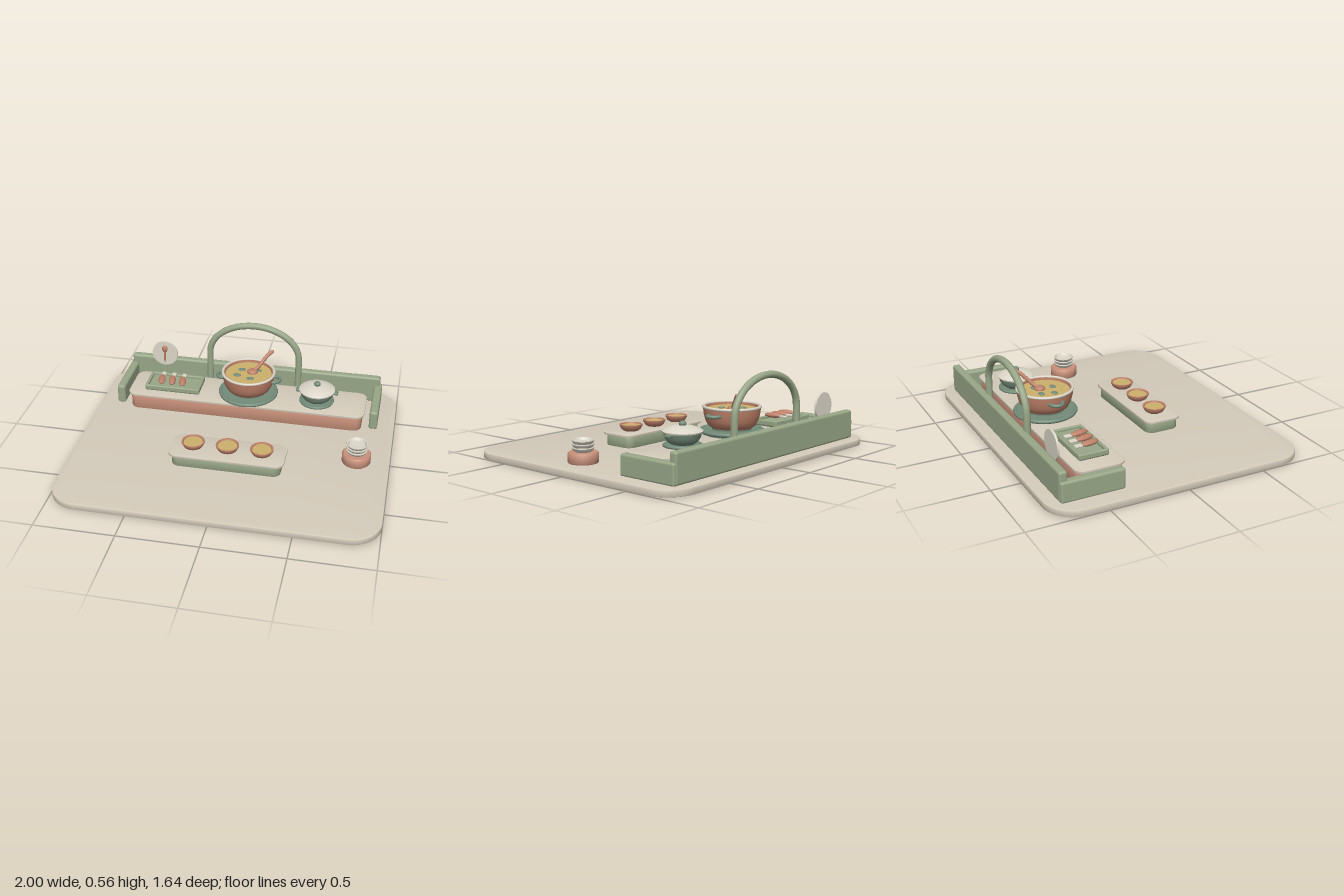
import * as THREE from 'three';
import { toCreasedNormals } from 'three/addons/utils/BufferGeometryUtils.js';
import { RoundedBoxGeometry } from 'three/addons/geometries/RoundedBoxGeometry.js';

const mat = (name, color) => Object.assign(new THREE.MeshStandardMaterial({ color }), { name });

export function createModel() {
  const root = new THREE.Group();
  root.name = 'kitchenSet';
  const cream = mat('cream', 0xd3cab9);
  const ceramic = mat('ceramic', 0xdbd6c8);
  const clay = mat('clay', 0xc9917b);
  const copper = mat('copper', 0xbd8068);
  const sage = mat('sage', 0x98a687);
  const green = mat('deepGreen', 0x748c7a);
  const broth = mat('broth', 0xcdb16c);

  const add = (parent, name, geo, material, x = 0, y = 0, z = 0) => {
    const m = new THREE.Mesh(geo, material);
    m.name = name;
    m.position.set(x, y, z);
    parent.add(m);
    return m;
  };
  const group = (name, x, y, z) => {
    const g = new THREE.Group();
    g.name = name;
    g.position.set(x, y, z);
    root.add(g);
    return g;
  };
  // Flat slab with rounded plan corners and softened edges
  const slab = (parent, name, material, x, z, w, d, r, y0, y1, b = 0.006) => {
    const s = new THREE.Shape(), hw = w / 2 - b, hd = d / 2 - b, q = r - b;
    s.moveTo(-hw + q, -hd);
    s.lineTo(hw - q, -hd);
    s.absarc(hw - q, -hd + q, q, -Math.PI / 2, 0);
    s.absarc(hw - q, hd - q, q, 0, Math.PI / 2);
    s.absarc(-hw + q, hd - q, q, Math.PI / 2, Math.PI);
    s.absarc(-hw + q, -hd + q, q, Math.PI, Math.PI * 1.5);
    const g = new THREE.ExtrudeGeometry(s, {
      depth: y1 - y0 - 2 * b, bevelEnabled: true, bevelThickness: b, bevelSize: b, bevelSegments: 2, curveSegments: 12,
    });
    g.rotateX(-Math.PI / 2);
    return add(parent, name, toCreasedNormals(g, 0.6), material, x, y0 + b, z);
  };
  const box = (parent, name, material, w, h, d, x, y, z, r = 0.008) =>
    add(parent, name, new RoundedBoxGeometry(w, h, d, 3, r), material, x, y, z);
  const lathe = (pts, seg = 40) =>
    toCreasedNormals(new THREE.LatheGeometry(pts.map(p => new THREE.Vector2(...p)), seg), 0.7);
  const ring = (parent, name, material, R, t, y) =>
    add(parent, name, new THREE.TorusGeometry(R, t, 10, 44).rotateX(Math.PI / 2), material, 0, y, 0);
  const ellipsoid = (parent, name, material, a, b, c, x, y, z) =>
    add(parent, name, new THREE.SphereGeometry(1, 20, 14).scale(a, b, c), material, x, y, z);
  const disc = (parent, name, material, r, h, y) =>
    add(parent, name, new THREE.CylinderGeometry(r, r, h, 40), material, 0, y, 0);

  // Base mat
  slab(root, 'base', cream, 0, 0, 2, 1.64, 0.19, 0, 0.042);

  // Back counter
  slab(root, 'counterBody', clay, 0, -0.443, 1.57, 0.295, 0.055, 0.04, 0.14);
  slab(root, 'counterTop', cream, 0, -0.443, 1.6, 0.315, 0.06, 0.138, 0.155, 0.004);

  // Low walls and arch
  box(root, 'backWall', sage, 1.75, 0.185, 0.052, 0, 0.1325, -0.718, 0.015);
  for (const s of [-1, 1]) box(root, 'sideWall', sage, 0.055, 0.13, 0.395, s * 0.862, 0.102, -0.5425, 0.015);
  const archPts = [new THREE.Vector3(-0.31, 0.05, 0), new THREE.Vector3(-0.31, 0.2, 0)];
  for (let i = 0; i <= 16; i++) {
    const a = Math.PI * (1 - i / 16);
    archPts.push(new THREE.Vector3(0.31 * Math.cos(a), 0.315 + 0.225 * Math.sin(a), 0));
  }
  archPts.push(new THREE.Vector3(0.31, 0.2, 0), new THREE.Vector3(0.31, 0.05, 0));
  add(root, 'arch', new THREE.TubeGeometry(new THREE.CatmullRomCurve3(archPts), 80, 0.022, 12), sage, 0, 0, -0.69);

  // Large pot on its burner
  const pot = group('largePot', 0.008, 0, -0.438);
  disc(pot, 'burnerFoot', green, 0.16, 0.022, 0.164);
  disc(pot, 'burnerPlate', green, 0.185, 0.016, 0.18);
  ring(pot, 'burnerRing', green, 0.187, 0.013, 0.18);
  disc(pot, 'potFoot', green, 0.12, 0.02, 0.196);
  add(pot, 'potBody', lathe([[0, 0.2], [0.125, 0.2], [0.145, 0.215], [0.163, 0.25], [0.172, 0.29], [0.176, 0.328],
    [0.158, 0.328], [0.152, 0.29], [0, 0.285]]), copper);
  ring(pot, 'potRim', ceramic, 0.172, 0.009, 0.328);
  disc(pot, 'soup', broth, 0.156, 0.02, 0.303);
  for (const s of [-1, 1]) {
    add(pot, 'potHandle', new THREE.TorusGeometry(0.04, 0.011, 10, 28).rotateX(Math.PI / 2), green, s * 0.172, 0.287, 0);
  }
  for (const [x, z] of [[-0.053, -0.045], [-0.073, 0.033], [0.022, 0.062], [0.055, -0.05]]) {
    ellipsoid(pot, 'herb', green, 0.026, 0.007, 0.019, x, 0.314, z);
  }
  // Ladle
  ellipsoid(pot, 'ladleBowl', copper, 0.036, 0.02, 0.034, 0.022, 0.317, -0.024);
  const ladle = new THREE.CatmullRomCurve3([new THREE.Vector3(0.022, 0.315, -0.024),
    new THREE.Vector3(0.06, 0.345, -0.06), new THREE.Vector3(0.105, 0.4, -0.112), new THREE.Vector3(0.135, 0.42, -0.14)]);
  add(pot, 'ladleHandle', new THREE.TubeGeometry(ladle, 24, 0.012, 10), copper);
  ellipsoid(pot, 'ladleTip', copper, 0.012, 0.012, 0.012, 0.135, 0.42, -0.14);

  // Small lidded pot
  const small = group('smallPot', 0.472, 0, -0.443);
  disc(small, 'smallBurner', green, 0.105, 0.014, 0.16);
  ring(small, 'smallBurnerRing', green, 0.106, 0.01, 0.162);
  add(small, 'smallPotBody', lathe([[0, 0.167], [0.07, 0.17], [0.09, 0.185], [0.106, 0.21], [0.112, 0.243], [0, 0.245]]), green);
  add(small, 'lid', lathe([[0, 0.238], [0.118, 0.238], [0.12, 0.246], [0.1, 0.259], [0.06, 0.272], [0, 0.278]]), ceramic);
  ellipsoid(small, 'lidKnob', green, 0.022, 0.017, 0.022, 0, 0.286, 0);
  for (const s of [-1, 1]) box(small, 'smallPotHandle', green, 0.045, 0.018, 0.04, s * 0.118, 0.23, 0, 0.007);

  // Food tray
  const tray = group('tray', -0.503, 0, -0.443);
  box(tray, 'trayFloor', sage, 0.37, 0.022, 0.185, 0, 0.169, 0, 0.006);
  for (const s of [-1, 1]) {
    box(tray, 'trayLongRim', sage, 0.375, 0.036, 0.02, 0, 0.18, s * 0.086);
    box(tray, 'trayShortRim', sage, 0.02, 0.036, 0.19, s * 0.178, 0.18, 0);
  }
  for (let i = 0; i < 3; i++) {
    const x = -0.087 + i * 0.072;
    ellipsoid(tray, 'morsel', copper, 0.024, 0.017, 0.06, x, 0.21, 0.02).rotation.y = 0.18;
    box(tray, 'morselTail', ceramic, 0.03, 0.014, 0.048, x - 0.006, 0.207, -0.054, 0.005);
  }

  // Round wall plaque with a spoon
  const plaque = group('plaque', -0.632, 0.272, -0.676);
  add(plaque, 'plaqueDisc', new THREE.CylinderGeometry(0.09, 0.09, 0.014, 40).rotateX(Math.PI / 2), ceramic);
  ellipsoid(plaque, 'spoonBowl', copper, 0.02, 0.026, 0.011, 0, 0.038, 0.01);
  box(plaque, 'spoonHandle', copper, 0.013, 0.085, 0.012, 0, -0.02, 0.011, 0.005);

  // Front serving stand with three bowls
  slab(root, 'standBody', sage, 0, 0.207, 0.69, 0.22, 0.05, 0.04, 0.113);
  slab(root, 'standTop', cream, 0, 0.207, 0.73, 0.245, 0.055, 0.111, 0.127, 0.004);
  for (const x of [-0.222, -0.003, 0.215]) {
    const bowl = group('bowl', x, 0.126, 0.207);
    add(bowl, 'bowlBody', lathe([[0, 0], [0.042, 0], [0.06, 0.012], [0.073, 0.036], [0.073, 0.043], [0.064, 0.043],
      [0.056, 0.025], [0, 0.022]], 32), copper);
    disc(bowl, 'bowlSoup', broth, 0.06, 0.012, 0.03);
  }

  // Stool with stacked dishes
  const stool = group('stool', 0.79, 0, 0.043);
  add(stool, 'stoolBody', lathe([[0, 0.04], [0.085, 0.04], [0.091, 0.048], [0.091, 0.098], [0.084, 0.107], [0, 0.107]]), clay);
  for (let i = 0; i < 3; i++) {
    add(stool, 'dish', lathe([[0, 0], [0.045, 0], [0.058, 0.008], [0.067, 0.024], [0.066, 0.029], [0.06, 0.029],
      [0.05, 0.014], [0, 0.009]], 32), ceramic, 0, 0.106 + i * 0.022, 0);
  }
  return root;
}
